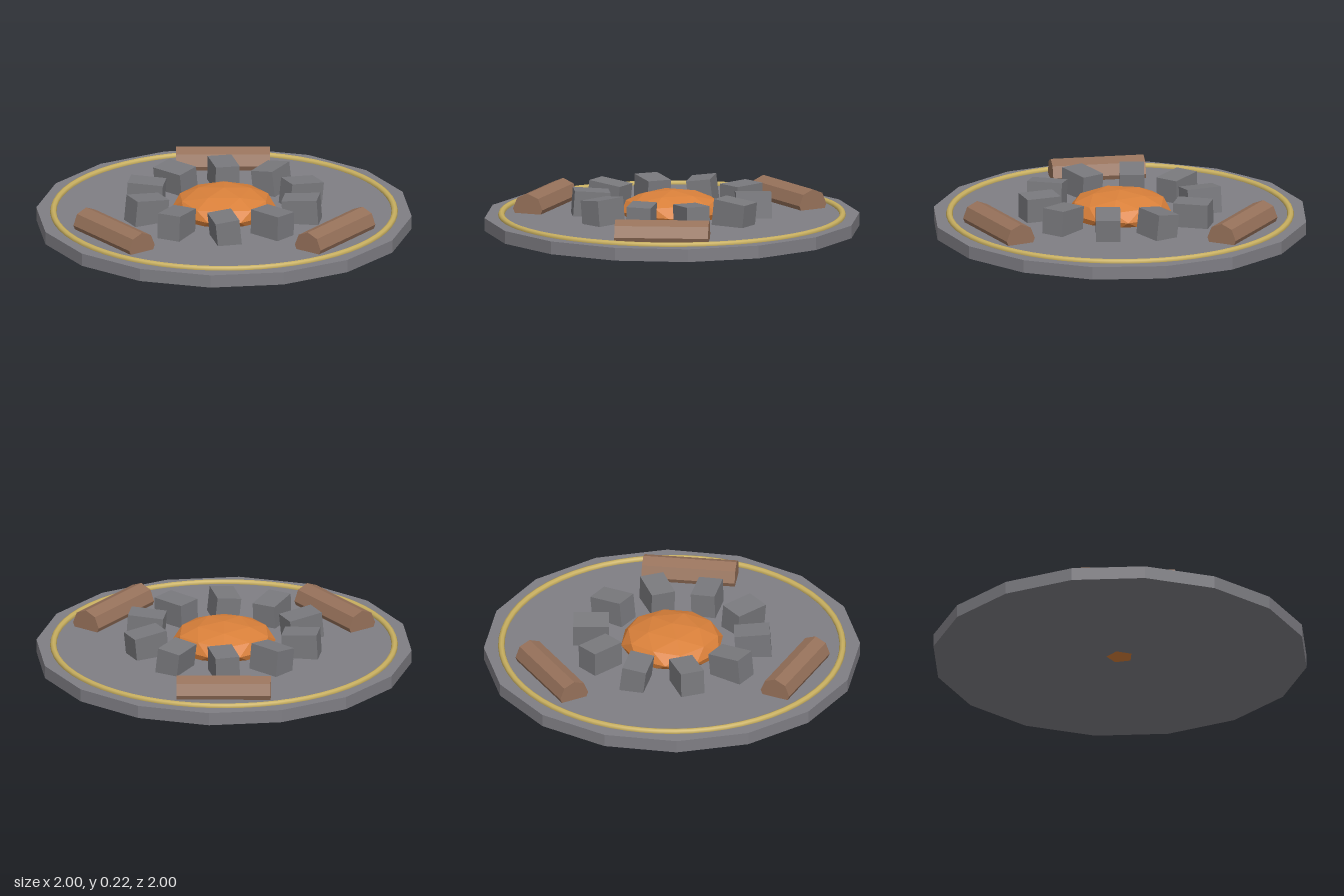
import * as THREE from 'three';

const rad = THREE.MathUtils.degToRad;

function material(name, color, flatShading = true) {
  const m = new THREE.MeshStandardMaterial({ color, flatShading });
  m.name = name;
  return m;
}

export function createModel() {
  const model = new THREE.Group();
  model.name = 'campfireCircle';

  const slate = material('slate', 0x7f7e84);
  const stone = material('stone', 0x79797d);
  const wood = material('wood', 0x96715a);
  const ember = material('ember', 0xd9803a);
  const gold = material('gold', 0xc9b060, false);

  function add(name, geometry, mat, x = 0, y = 0, z = 0) {
    const mesh = new THREE.Mesh(geometry, mat);
    mesh.name = name;
    mesh.position.set(x, y, z);
    model.add(mesh);
    return mesh;
  }

  // Place a part on a circle, its local x axis pointing outward at angle 0
  function addAround(name, geometry, mat, radius, y, angle) {
    const a = rad(angle);
    return add(name, geometry, mat, radius * Math.cos(a), y, -radius * Math.sin(a));
  }

  // Sixteen-sided base slab
  add('base', new THREE.CylinderGeometry(1, 1, 0.069, 16), slate, 0, 0.0425, 0);

  // Rim ring lying on the slab
  add('rimRing', new THREE.TorusGeometry(0.907, 0.0175, 8, 64).rotateX(Math.PI / 2), gold, 0, 0.08, 0);

  // Flattened faceted ember mound, a vertex pointing straight up
  const mound = new THREE.IcosahedronGeometry(1, 1)
    .rotateX(-Math.atan((1 + Math.sqrt(5)) / 2))
    .rotateY(Math.PI / 2)
    .scale(0.275, 0.107, 0.275);
  add('emberMound', mound, ember, 0, 0.107, 0);

  // Ring of stones: [yaw, sideways tilt, inward tilt] in degrees
  const stoneGeometry = new THREE.BoxGeometry(0.19, 0.14, 0.13);
  const stones = [
    [9, 0, -6], [43, -7, 0], [85, 1, 0], [120, -7, 0], [153, 0, 3],
    [189, 0, 6], [225, 0, 4], [265, 6, 0], [300, -2, 0], [333, 0, 4],
  ];
  stones.forEach(([yaw, side, inward], i) => {
    const s = addAround('stone' + (i + 1), stoneGeometry, stone, 0.433, 0.138, i * 36);
    s.rotation.set(rad(side), rad(yaw), rad(inward), 'YXZ');
  });

  // Three octagonal log seats, half sunk into the slab
  const logGeometry = new THREE.CylinderGeometry(0.084, 0.084, 0.5, 8).rotateX(Math.PI / 2);
  [72, 198, 306].forEach((angle, i) => {
    addAround('logSeat' + (i + 1), logGeometry, wood, 0.726, 0.101, angle).rotation.y = rad(angle);
  });

  return model;
}
